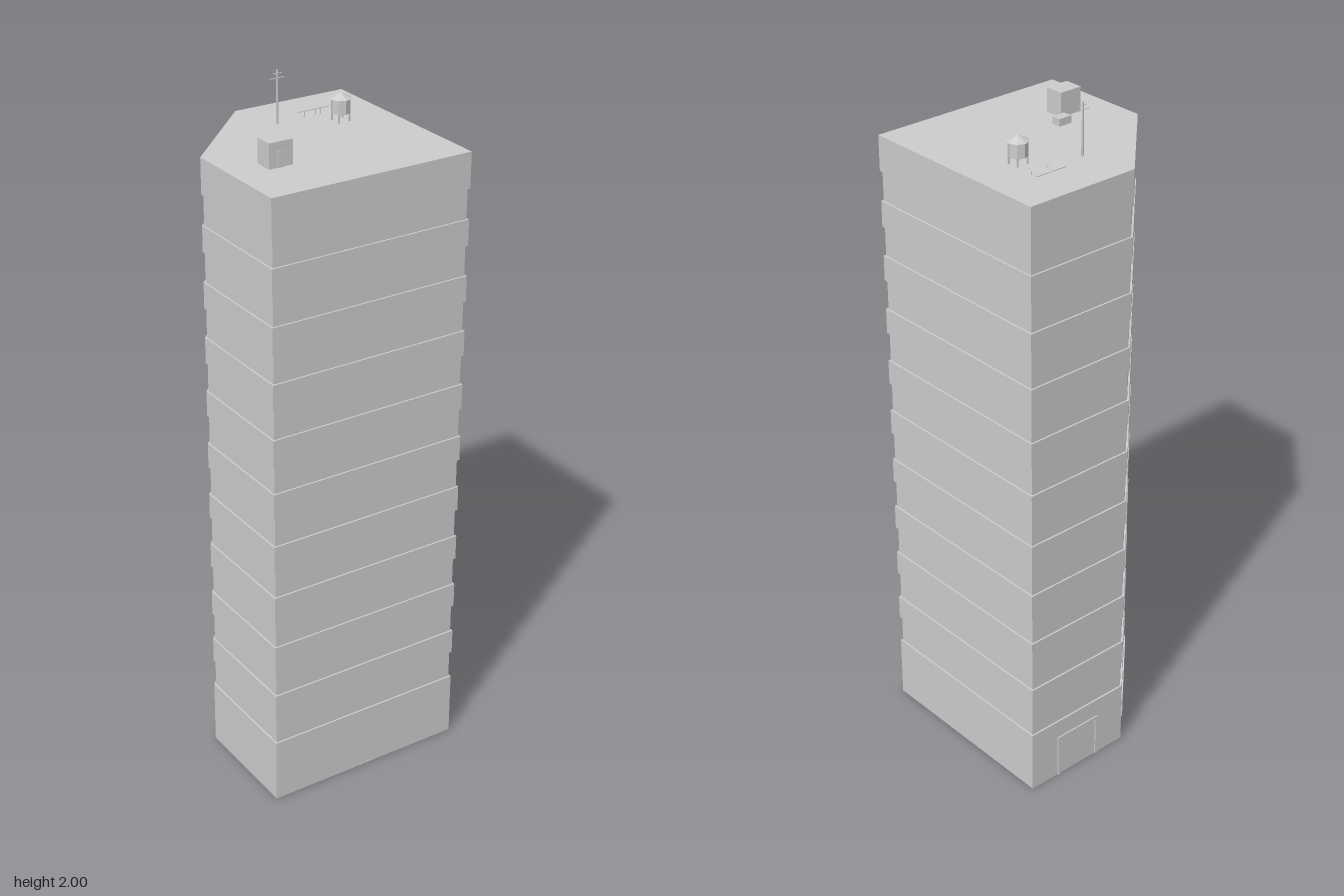
import * as THREE from 'three';

const concrete = new THREE.MeshStandardMaterial({ color: 0xcccccc });
concrete.name = 'light grey concrete';

const ROOF = 1.85;

export function createModel() {
  const model = new THREE.Group();
  model.name = 'officeTower';

  const add = (name, geometry, parent = model) => {
    const mesh = new THREE.Mesh(geometry, concrete);
    mesh.name = name;
    parent.add(mesh);
    return mesh;
  };
  const box = (name, w, h, d, x, y, z, parent = model) => {
    const mesh = add(name, new THREE.BoxGeometry(w, h, d), parent);
    mesh.position.set(x, y, z);
    return mesh;
  };

  // Five-sided floor plan with one cut corner, shrunk by an inset
  const layer = (name, y0, y1, inset) => {
    const s = 0.308 - inset, f = 0.307 - inset, b = 0.305 - inset;
    const c = 0.348 - inset * Math.SQRT2;
    const plan = [[-s, f], [s, f], [s, -b], [b - c, -b], [-s, s - c]];
    const shape = new THREE.Shape(plan.map(([x, z]) => new THREE.Vector2(x, -z)));
    const geometry = new THREE.ExtrudeGeometry(shape, { depth: y1 - y0, bevelEnabled: false });
    geometry.rotateX(-Math.PI / 2);
    add(name, geometry).position.y = y0;
  };

  // Recessed window bands show between the projecting wall bands
  layer('recessedCore', 0.01, ROOF - 0.01, 0.005);
  layer('groundFloor', 0, 0.195, 0);
  const pitch = 0.1628;
  for (let i = 0; i < 10; i++) {
    const y0 = 0.282 + i * pitch;
    layer('wallBand', y0, i === 9 ? ROOF : 0.195 + (i + 1) * pitch, 0);
  }

  // Entrance frame on the back
  for (const x of [0.06, 0.207]) box('entrancePost', 0.009, 0.135, 0.008, x, 0.0675, -0.305);
  box('entranceLintel', 0.156, 0.009, 0.008, 0.1335, 0.1335, -0.305);

  // Thin window strip on the cut corner
  const strip = box('cornerWindow', 0.312, 0.07, 0.006, -0.1742, 0.092, -0.1742);
  strip.rotation.y = -Math.PI * 0.75;

  // Front doorstep
  box('doorstep', 0.04, 0.006, 0.004, 0, 0.003, 0.306);

  // Stair housing with door, and a small vent box
  box('stairHousing', 0.072, 0.07, 0.056, -0.171, ROOF + 0.035, 0.107);
  box('stairDoor', 0.024, 0.045, 0.004, -0.171, ROOF + 0.0225, 0.135);
  box('ventBox', 0.042, 0.021, 0.029, -0.11, ROOF + 0.0105, 0.047);

  // Aerial mast with crossbars
  const aerial = new THREE.Group();
  aerial.name = 'aerial';
  aerial.position.set(0, ROOF, -0.155);
  model.add(aerial);
  add('mast', new THREE.CylinderGeometry(0.0025, 0.0035, 0.15, 6), aerial).position.y = 0.075;
  box('upperCrossbar', 0.026, 0.002, 0.002, 0, 0.14, 0, aerial);
  box('lowerCrossbar', 0.046, 0.002, 0.002, 0, 0.127, 0, aerial);

  // Tilted solar panels
  for (const x of [0.108, 0.161]) {
    const panel = box('solarPanel', 0.048, 0.002, 0.033, x, ROOF + 0.012, -0.172);
    panel.rotation.x = -0.4;
    for (const dx of [-0.018, 0.018]) {
      box('panelLeg', 0.002, 0.016, 0.002, x + dx, ROOF + 0.008, -0.16);
    }
  }

  // Water tank on four legs
  const tank = new THREE.Group();
  tank.name = 'waterTank';
  tank.position.set(0.157, ROOF, -0.083);
  model.add(tank);
  const flat = (g) => { const n = g.toNonIndexed(); n.computeVertexNormals(); return n; };
  add('tankBody', flat(new THREE.CylinderGeometry(0.027, 0.027, 0.042, 8)), tank).position.y = 0.044;
  add('tankRoof', flat(new THREE.ConeGeometry(0.031, 0.016, 8)), tank).position.y = 0.072;
  for (const x of [-0.017, 0.017]) {
    for (const z of [-0.017, 0.017]) box('tankLeg', 0.004, 0.025, 0.004, x, 0.0125, z, tank);
  }

  return model;
}
